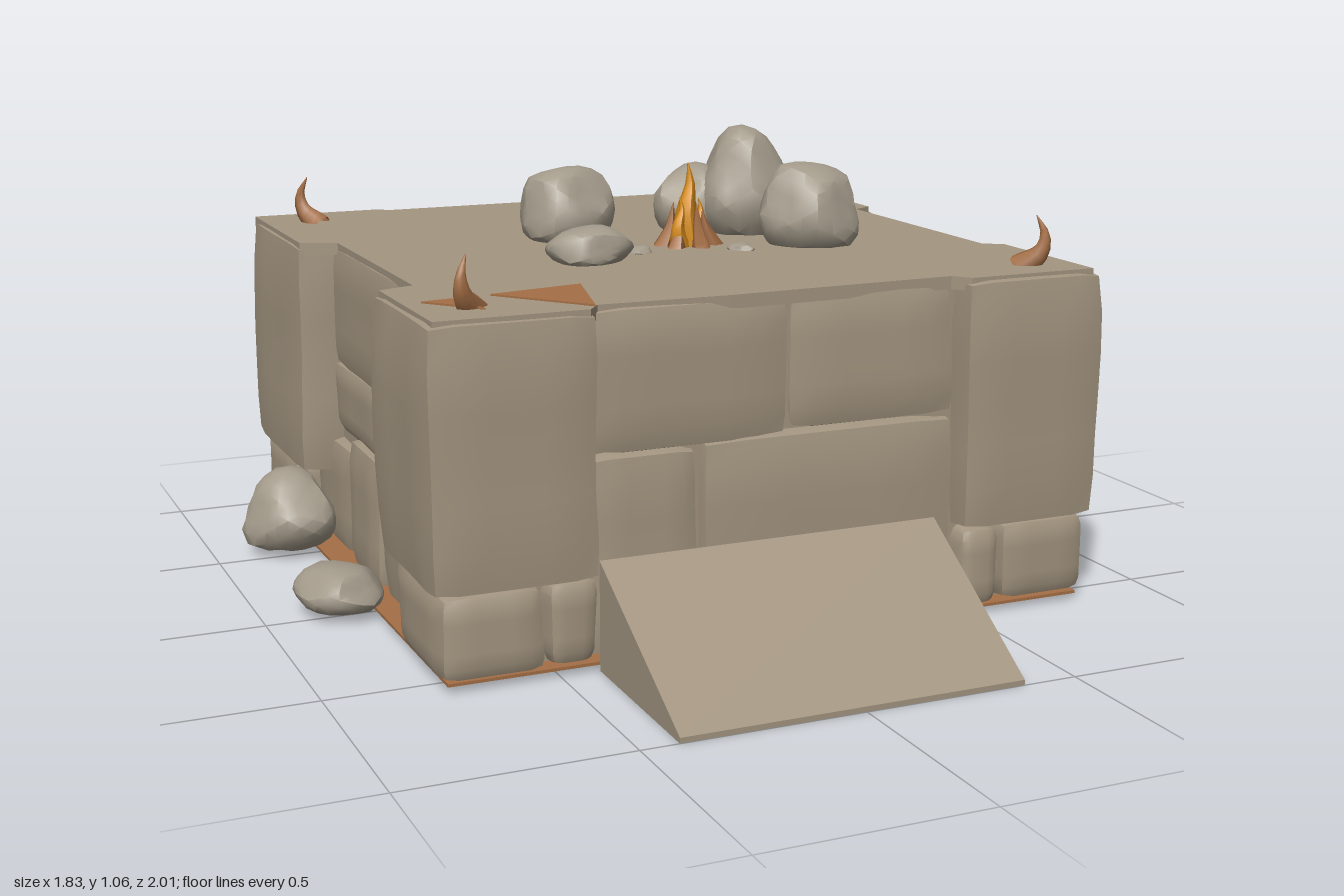
import * as THREE from 'three';
import { mergeVertices, toCreasedNormals } from 'three/addons/utils/BufferGeometryUtils.js';

const mat = (name, color, side = THREE.FrontSide) => {
  const m = new THREE.MeshStandardMaterial({ color, side });
  m.name = name;
  return m;
};

// smooth repeatable wobble
const wobble = (x, y, z, s) =>
  Math.sin(x * 9 + s * 1.7 + y * 5) * 0.5 + Math.sin(y * 11 + s * 2.3 - z * 6) * 0.3 + Math.sin(z * 13 + s * 3.1 + x * 4) * 0.3;

// move every vertex by a rule, then rebuild the normals
function reshape(geo, rule, crease) {
  geo.deleteAttribute('normal');
  geo.deleteAttribute('uv');
  const g = mergeVertices(geo, 1e-4);
  const p = g.attributes.position, v = new THREE.Vector3();
  for (let i = 0; i < p.count; i++) {
    rule(v.fromBufferAttribute(p, i));
    p.setXYZ(i, v.x, v.y, v.z);
  }
  return toCreasedNormals(g, crease);
}

// worn stone block between two corners
function blockGeometry(x0, x1, y0, y1, z0, z1, seed, r = 0.035, amp = 0.008) {
  const h = new THREE.Vector3(x1 - x0, y1 - y0, z1 - z0).multiplyScalar(0.5);
  const c = new THREE.Vector3(x0 + x1, y0 + y1, z0 + z1).multiplyScalar(0.5);
  const inner = h.clone().subScalar(Math.min(r, h.x, h.y, h.z));
  const geo = new THREE.BoxGeometry(h.x * 2, h.y * 2, h.z * 2, 6, 6, 6);
  return reshape(geo, v => {
    const core = v.clone().clamp(inner.clone().negate(), inner);
    const off = v.clone().sub(core);
    if (off.length() > 0) off.setLength(Math.min(off.length(), r));
    v.copy(core).add(off).add(c);
    const w = wobble(v.x, v.y, v.z, seed) * amp;
    v.x += Math.sign(off.x) * w;
    v.z += Math.sign(off.z) * w;
    v.y += w * 0.3;
  }, 0.7);
}

// boulder with a flat base
function rockGeometry(w, h, d, seed) {
  return reshape(new THREE.IcosahedronGeometry(1, 3), v => {
    const k = 1 + 0.1 * wobble(v.x * 0.35, v.y * 0.35, v.z * 0.35, seed);
    // chop a few facets
    for (let i = 0; i < 5; i++) {
      const a = seed * 1.3 + i * 2.4;
      const n = new THREE.Vector3(Math.cos(a), 0.2 + 0.25 * (i % 3), Math.sin(a)).normalize();
      const over = v.dot(n) - 0.84;
      if (over > 0) v.addScaledVector(n, -over);
    }
    v.multiplyScalar(k);
    v.set(v.x * w * 0.52, Math.max(0, (v.y * 0.62 + 0.4) * h), v.z * d * 0.52);
  }, 0.6);
}

// tapered curved spike through the given points
function spikeGeometry(points, radius, sides = 7) {
  const curve = new THREE.CatmullRomCurve3(points.map(p => new THREE.Vector3(...p)));
  const n = 8, geo = new THREE.TubeGeometry(curve, n, radius, sides, false);
  const p = geo.attributes.position, v = new THREE.Vector3();
  for (let i = 0; i < p.count; i++) {
    const t = Math.floor(i / (sides + 1)) / n, c = curve.getPointAt(t);
    v.fromBufferAttribute(p, i).sub(c).multiplyScalar(1 - t * 0.97).add(c);
    p.setXYZ(i, v.x, v.y, v.z);
  }
  geo.computeVertexNormals();
  return geo;
}

// flat outline in x, z extruded downwards from the given height
function slabGeometry(points, top, depth) {
  const s = new THREE.Shape(points.map(([x, z]) => new THREE.Vector2(x, z)));
  return new THREE.ExtrudeGeometry(s, { depth, bevelEnabled: false }).rotateX(Math.PI / 2).translate(0, top, 0);
}

export function createModel() {
  const stone = mat('stone', 0xa39580);
  const rock = mat('boulder grey', 0xa39a8a);
  const brown = mat('brown', 0xa46e45, THREE.DoubleSide);
  const flame = mat('flame orange', 0xd98f1c, THREE.DoubleSide);
  const model = new THREE.Group();
  model.name = 'stonePlatform';
  const add = (name, geo, m) => {
    const mesh = new THREE.Mesh(geo, m);
    mesh.name = name;
    model.add(mesh);
    return mesh;
  };
  let seed = 1;
  const block = (name, ...b) => add(name, blockGeometry(...b, seed++), stone);

  // solid core and walking surface
  add('core', slabGeometry([[-0.68, -0.94], [0.74, -0.94], [0.74, 0.53], [-0.68, 0.53]], 0.78, 0.755), stone);
  add('topFloor', slabGeometry([
    [-0.77, -0.98], [-0.44, -0.98], [-0.41, -0.955], [0.44, -0.96], [0.47, -0.98], [0.81, -0.98], [0.81, -0.5],
    [0.755, -0.47], [0.755, 0.17], [0.8, 0.2], [0.8, 0.575], [0.48, 0.575], [0.45, 0.535], [-0.1, 0.55], [-0.4, 0.54],
    [-0.43, 0.58], [-0.77, 0.58], [-0.77, 0.2], [-0.685, 0.17], [-0.685, -0.46], [-0.77, -0.5]], 0.79, 0.03), stone);

  // corner towers: one tall block over smaller footing blocks
  for (const [x0, x1, z0, z1] of [[-0.79, -0.42, -1, -0.48], [0.45, 0.83, -1, -0.48], [-0.79, -0.41, 0.18, 0.6], [0.46, 0.825, 0.18, 0.6]]) {
    block('cornerBlock', x0, x1, 0.205, 0.788, z0, z1);
    const left = x0 < 0, back = z0 < 0;
    const fx0 = left ? x0 + 0.02 : x0, fx1 = left ? x1 : x1 - 0.015;
    const fz0 = back ? z0 + 0.02 : z0 + 0.08, fz1 = back ? z1 - 0.18 : z1 - 0.01;
    const split = left ? fx0 + 0.24 : fx1 - 0.23;
    block('footing', fx0, split, 0.02, 0.215, fz0, fz1);
    block('footing', split, fx1, 0.02, 0.215, fz0 + 0.01, fz1 - 0.01);
  }

  // wall stones: [start, end, bottom, top, extra depth]
  const front = [[-0.43, -0.17, 0.02, 0.47, 0.01], [-0.17, 0.46, 0.02, 0.48, 0.01], [-0.43, 0.05, 0.46, 0.785, 0], [0.04, 0.46, 0.47, 0.785, -0.01]];
  for (const [a, b, y0, y1, e] of front) block('frontStone', a, b, y0, y1, 0.3, 0.555 + e);
  const side = [[-0.06, 0.2, 0.02, 0.49, 0.01], [-0.34, -0.06, 0.02, 0.34, 0.015], [-0.66, -0.34, 0.02, 0.3, 0.005], [-0.5, -0.05, 0.32, 0.5, 0], [-0.5, 0.2, 0.48, 0.785, -0.005], [0.18, 0.3, 0.02, 0.25, 0]];
  for (const [a, b, y0, y1, e] of side) {
    block('leftSideStone', 0.5, 0.765 + e, y0, y1, a, b);
    block('rightSideStone', -0.705 - e, -0.45, y0, y1, a, b);
  }
  const rows = [[0.02, 0.2, -0.15, 0.2], [0.2, 0.4, -0.22, 0.1], [0.39, 0.6, 0.0, 0.27], [0.59, 0.785, -0.15, 0.15]];
  rows.forEach(([y0, y1, s, t], r) => {
    [-0.43, s, t, 0.46].forEach((x, i, xs) => {
      if (i < 3) block('backStone', x, xs[i + 1], y0, y1, -0.975 + 0.012 * ((i + r) % 2), -0.7);
    });
  });

  // brown underside and open patches in the floor
  add('underside', slabGeometry([[-0.76, -0.96], [0.79, -0.96], [0.79, 0.57], [-0.75, 0.57]], 0.022, 0.007), brown);
  add('floorPatch', slabGeometry([[-0.57, 0.355], [-0.35, 0.315], [-0.41, 0.555]], 0.794, 0.006), brown);
  add('floorPatch', slabGeometry([[-0.73, 0.38], [-0.66, 0.37], [-0.63, 0.5]], 0.794, 0.006), brown);

  // entry ramp
  const ramp = new THREE.Shape([[0.58, 0.005], [1, 0], [1, 0.012], [0.58, 0.25]].map(p => new THREE.Vector2(...p)));
  const rampGeo = new THREE.ExtrudeGeometry(ramp, { depth: 0.81, bevelEnabled: false }).rotateY(-Math.PI / 2);
  const rp = rampGeo.attributes.position;
  for (let i = 0; i < rp.count; i++) {
    const x = rp.getX(i) + 0.395;
    rp.setX(i, x > 0 && rp.getZ(i) > 0.9 ? x - 0.02 : x);
  }
  rampGeo.computeVertexNormals();
  add('ramp', rampGeo, stone);

  // boulders: x, z, width, depth, base, height
  const boulders = [
    [-0.14, -0.33, 0.24, 0.23, 0.785, 0.18], [0.21, -0.33, 0.19, 0.2, 0.785, 0.17], [0.31, -0.26, 0.23, 0.26, 0.785, 0.26],
    [0.38, -0.02, 0.27, 0.23, 0.785, 0.2], [-0.215, 0.025, 0.19, 0.17, 0.785, 0.09],
    [-0.81, -0.55, 0.22, 0.24, 0.02, 0.18], [-0.82, -0.035, 0.21, 0.24, 0.02, 0.09], [0.83, -0.21, 0.16, 0.23, 0.02, 0.085],
    [-0.06, -0.05, 0.06, 0.08, 0.785, 0.02], [0.18, 0.01, 0.06, 0.08, 0.785, 0.02]];
  boulders.forEach(([x, z, w, d, y, h], i) => add('boulder', rockGeometry(w, h, d, i + 2), rock).position.set(x, y, z));

  // corner horns curving outwards, then up
  for (const [x, z] of [[-0.66, -0.83], [0.695, -0.83], [-0.66, 0.465], [0.7, 0.475]]) {
    const sx = Math.sign(x), sz = Math.sign(z);
    const g = spikeGeometry([[-0.02 * sx, -0.01, -0.02 * sz], [0.012 * sx, 0.03, 0.015 * sz], [0.018 * sx, 0.07, 0.022 * sz], [0.002 * sx, 0.115, 0.01 * sz]], 0.034);
    add('horn', g, brown).position.set(x, 0.79, z);
  }

  // campfire: ring of leaning logs around the flames
  for (let i = 0; i < 6; i++) {
    const a = i * 1.05 + 0.3, c = Math.cos(a), s = Math.sin(a);
    const g = spikeGeometry([[c * 0.065, -0.01, s * 0.055], [c * 0.045, 0.04, s * 0.04], [c * 0.035, 0.085 + 0.02 * (i % 2), s * 0.035]], 0.026, 5);
    add('fireLog', g, brown).position.set(0.09, 0.79, -0.1);
  }
  const tongues = [[0, 0, 0.2, 0.042], [-0.03, 0.02, 0.12, 0.025], [0.035, -0.015, 0.11, 0.025]];
  for (const [x, z, h, r] of tongues) {
    const g = spikeGeometry([[x, 0, z], [x - 0.008, h * 0.4, z + 0.008], [x + 0.006, h * 0.75, z], [x, h, z]], r, 6);
    add('flame', g, flame).position.set(0.09, 0.79, -0.1);
  }
  return model;
}
